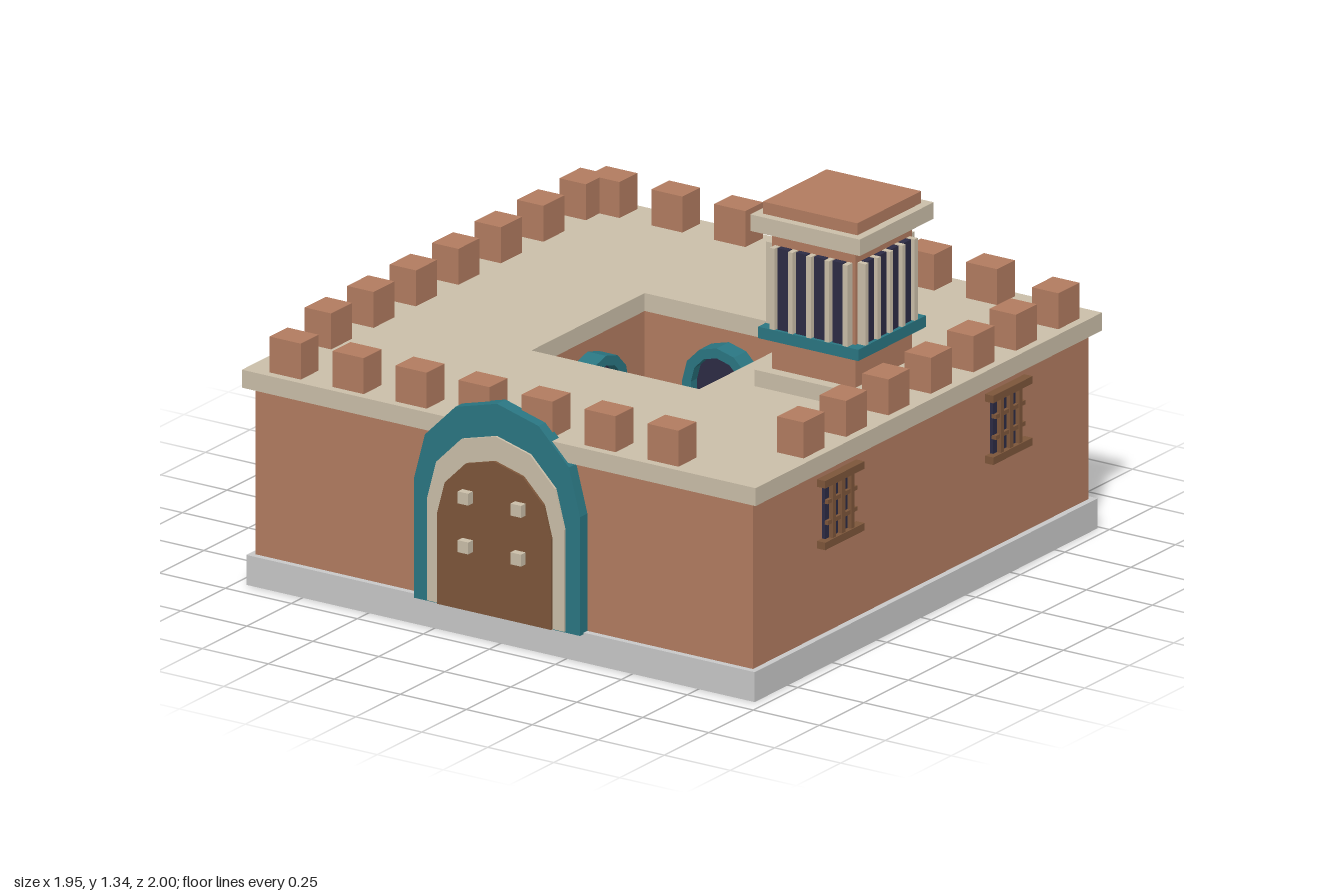
import * as THREE from 'three';

const mat = (name, color) => {
  const m = new THREE.MeshStandardMaterial({ color });
  m.name = name;
  return m;
};

export function createModel() {
  const brick = mat('brick', 0xb27c60), cream = mat('sandstone', 0xcbbfa9), grey = mat('stone', 0xc8c8c8);
  const teal = mat('tealTile', 0x2a7682), wood = mat('wood', 0x7d563a), dark = mat('darkGlass', 0x2d2b45);
  const grass = mat('grass', 0x4f8f5c), leaf = mat('foliage', 0x3a8052);
  const model = new THREE.Group();
  const house = new THREE.Group();
  house.name = 'house';
  house.position.z = -0.026;
  model.add(house);

  const add = (parent, name, geo, material, x = 0, y = 0, z = 0) => {
    const m = new THREE.Mesh(geo, material);
    m.name = name;
    m.position.set(x, y, z);
    parent.add(m);
    return m;
  };
  const group = (parent, name, x = 0, y = 0, z = 0, ry = 0) => {
    const g = new THREE.Group();
    g.name = name;
    g.position.set(x, y, z);
    g.rotation.y = ry;
    parent.add(g);
    return g;
  };
  // box given by its size in x and z and its bottom and top heights
  const block = (parent, name, w, d, y0, y1, material, x = 0, z = 0) =>
    add(parent, name, new THREE.BoxGeometry(w, y1 - y0, d), material, x, (y0 + y1) / 2, z);

  // square storey with the square courtyard cut out
  const ring = (name, half, hole, y0, y1, material) => {
    const square = (C, h) => {
      const s = new C();
      s.moveTo(-h, -h); s.lineTo(h, -h); s.lineTo(h, h); s.lineTo(-h, h); s.closePath();
      return s;
    };
    const s = square(THREE.Shape, half);
    s.holes.push(square(THREE.Path, hole));
    const geo = new THREE.ExtrudeGeometry(s, { depth: y1 - y0, bevelEnabled: false });
    geo.rotateX(-Math.PI / 2);
    return add(house, name, geo, material, 0, y0, 0);
  };

  // round-headed outline with six straight segments in the arch
  const archPath = (C, r, spring, bottom) => {
    const s = new C();
    s.moveTo(-r, bottom);
    s.lineTo(r, bottom);
    for (let i = 0; i <= 6; i++) {
      const a = (i * Math.PI) / 6;
      s.lineTo(r * Math.cos(a), spring + r * Math.sin(a));
    }
    s.closePath();
    return s;
  };
  const arch = (parent, name, r, spring, bottom, z0, z1, material, hole) => {
    const s = archPath(THREE.Shape, r, spring, bottom);
    if (hole) s.holes.push(archPath(THREE.Path, hole, spring, bottom + 0.002));
    return add(parent, name, new THREE.ExtrudeGeometry(s, { depth: z1 - z0, bevelEnabled: false }), material, 0, 0, z0);
  };

  // main building
  block(house, 'base', 1.926, 1.926, 0, 0.1, grey);
  ring('walls', 0.942, 0.32, 0.1, 0.66, brick);
  ring('roof', 0.973, 0.318, 0.66, 0.72, cream);

  // battlements, seven along every side
  for (let i = 0; i < 7; i++) {
    const t = -0.828 + i * 0.2385;
    for (const s of [-1, 1]) {
      block(house, 'merlon', 0.118, 0.1, 0.72, 0.84, brick, t, s * 0.895);
      block(house, 'merlon', 0.1, 0.118, 0.72, 0.84, brick, s * 0.895, t);
    }
  }

  // entrance
  const gate = group(house, 'entrance');
  arch(gate, 'outerArch', 0.315, 0.492, 0.095, 0.935, 0.983, teal);
  arch(gate, 'innerArch', 0.26, 0.44, 0.1, 0.975, 0.991, cream);
  arch(gate, 'door', 0.216, 0.403, 0.1, 0.985, 1.0, wood);
  for (const x of [-0.1, 0.1])
    for (const y of [0.32, 0.483])
      add(gate, 'doorStud', new THREE.BoxGeometry(0.04, 0.04, 0.03), cream, x, y, 1.011);

  // barred windows on the back and both sides
  const makeWindow = (side, x) => {
    const w = group(side, 'window', x, 0.51, 0.942);
    add(w, 'pane', new THREE.BoxGeometry(0.165, 0.19, 0.02), dark, 0, 0, 0.002);
    for (const y of [-0.103, 0.103])
      add(w, 'frameBar', new THREE.BoxGeometry(0.22, 0.025, 0.031), wood, 0, y, 0.0155);
    for (const y of [-0.035, 0.035])
      add(w, 'crossBar', new THREE.BoxGeometry(0.165, 0.014, 0.018), wood, 0, y, 0.014);
    for (const bx of [-0.052, 0, 0.052])
      add(w, 'uprightBar', new THREE.BoxGeometry(0.018, 0.19, 0.02), wood, bx, 0, 0.017);
  };
  for (const q of [1, 2, 3]) {
    const side = group(house, 'windowSide', 0, 0, 0, (q * Math.PI) / 2);
    for (const x of [-0.472, 0.472]) makeWindow(side, x);
  }

  // rooftop tower
  const tower = group(house, 'tower', 0.644, 0, 0);
  block(tower, 'plinth', 0.395, 0.395, 0.72, 0.775, cream);
  block(tower, 'shaft', 0.316, 0.316, 0.775, 1.24, brick);
  block(tower, 'tileBand', 0.38, 0.38, 0.88, 0.918, teal);
  block(tower, 'cornice', 0.415, 0.415, 1.24, 1.295, cream);
  block(tower, 'cap', 0.358, 0.358, 1.295, 1.335, brick);
  for (let q = 0; q < 4; q++) {
    const face = group(tower, 'latticeFace', 0, 0, 0, (q * Math.PI) / 2);
    for (let i = 0; i < 4; i++)
      block(face, 'slotWindow', 0.04, 0.03, 0.918, 1.19, dark, (i - 1.5) * 0.069, 0.163);
    for (let i = 0; i < 5; i++)
      block(face, 'latticeBar', 0.018, 0.03, 0.918, 1.19, cream, (i - 2) * 0.069, 0.173);
  }

  // courtyard: lawn cross, arcade arches, fountain and shrubs
  const yard = group(house, 'courtyard');
  block(yard, 'lawn', 0.26, 0.638, 0.1, 0.108, grass);
  for (const s of [-1, 1]) block(yard, 'lawnArm', 0.189, 0.26, 0.1, 0.108, grass, s * 0.2245);
  for (let q = 0; q < 4; q++) {
    const wall = group(yard, 'courtyardArch', 0, 0, 0, (q * Math.PI) / 2);
    arch(wall, 'archSurround', 0.13, 0.49, 0.1, -0.32, -0.25, teal, 0.097);
    arch(wall, 'archOpening', 0.1, 0.49, 0.102, -0.319, -0.285, dark);
  }

  const lathe = (name, pts, sides, material) => {
    const g = new THREE.LatheGeometry(pts.map((p) => new THREE.Vector2(...p)), sides).toNonIndexed();
    g.computeVertexNormals();
    return add(yard, name, g, material);
  };
  lathe('fountainBasin', [[0.195, 0.1], [0.195, 0.2], [0.165, 0.2], [0.165, 0.15]], 8, grey);
  add(yard, 'fountainWater', new THREE.CylinderGeometry(0.166, 0.166, 0.07, 8), teal, 0, 0.145, 0);
  lathe('fountainBowl', [[0.045, 0.17], [0.045, 0.25], [0.11, 0.29], [0.11, 0.31], [0, 0.31]], 8, grey);
  add(yard, 'fountainSpout', new THREE.CylinderGeometry(0.032, 0.032, 0.06, 16), grey, 0, 0.335, 0);

  const shrub = new THREE.SphereGeometry(0.095, 6, 4).toNonIndexed();
  shrub.computeVertexNormals();
  for (const x of [-0.23, 0.23])
    for (const z of [-0.23, 0.23]) {
      add(yard, 'shrubTrunk', new THREE.CylinderGeometry(0.02, 0.02, 0.12, 6), wood, x, 0.16, z);
      add(yard, 'shrub', shrub, leaf, x, 0.26, z);
    }
  return model;
}
